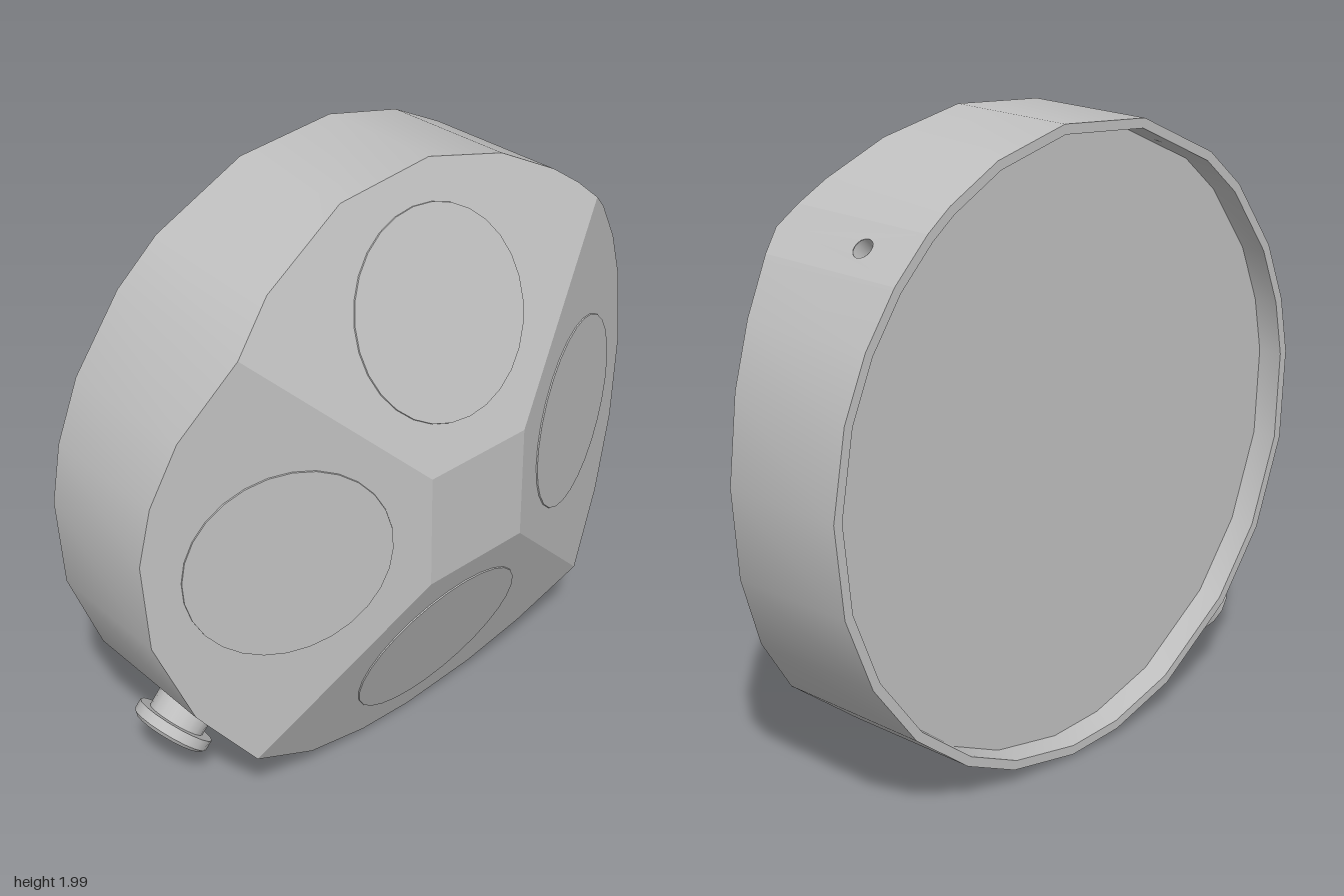
import * as THREE from 'three';

const HALF = 0.19, SLOPE = 0.4136, FRONT = 0.375, BACK = -0.38, MID_Y = 1;
const rad = THREE.MathUtils.degToRad;
// Height of the four-sided pyramid front at a point
const faceZ = (x, y) => FRONT - SLOPE * (Math.max(Math.abs(x), Math.abs(y)) - HALF);
// Outer radius narrows slightly towards the back
const bodyR = (z) => (z > 0 ? 1 : 1 + 0.026 * z);

// Outline angles; the gap from 40 to 50 degrees is a flat panel with a hole
const ANGLES = [50, 56, 68, 84, 104, 124, 135, 151, 163, 174, 191, 209, 225, 245, 260,
  272, 287.5, 300, 315, 330.5, 345.5, 362, 377.5, 389, 400];

export function createModel() {
  const model = new THREE.Group();
  const grey = new THREE.MeshStandardMaterial({ color: 0xc0c0c0 });
  grey.name = 'plain grey';
  const greyInside = grey.clone();
  greyInside.side = THREE.DoubleSide;

  const add = (name, geo, parent = model, mat = grey) => {
    const mesh = new THREE.Mesh(geo, mat);
    mesh.name = name;
    parent.add(mesh);
    return mesh;
  };
  const body = new THREE.Group();
  body.name = 'body';
  body.position.y = MID_Y;
  model.add(body);

  const build = (points, index) => {
    const geo = new THREE.BufferGeometry().setFromPoints(points);
    geo.setIndex(index);
    geo.computeVertexNormals();
    return geo;
  };
  const loop = (r, z) => ANGLES.map((a) =>
    new THREE.Vector3(r * Math.cos(rad(a)), r * Math.sin(rad(a)), z));
  // Surface between two loops, front loop first
  const loft = (a, b, closed) => {
    const n = a.length, index = [];
    for (let i = 0; i < (closed ? n : n - 1); i++) {
      const j = (i + 1) % n;
      index.push(n + i, n + j, j, n + i, j, i);
    }
    return build([...a, ...b], index);
  };

  // Side wall, rim, recess and back plate
  const front = loop(1, 0);
  front.forEach((p) => { p.z = faceZ(p.x, p.y); });
  const backR = bodyR(BACK);
  const outer = loop(backR, BACK), inner = loop(backR - 0.03, BACK);
  const floor = loop(backR - 0.035, BACK + 0.08);
  add('sideWall', loft(front, outer, false), body);
  add('backRim', loft(outer, inner, true), body);
  add('recessWall', loft(inner, floor, true), body);
  add('backPlate', loft(floor, loop(0, BACK + 0.08), true), body);

  // Flat panel with the small hole, bent onto the wall at 45 degrees
  const c5 = Math.cos(rad(5)), s5 = Math.sin(rad(5)), d = Math.SQRT1_2;
  const zEdge = faceZ(Math.cos(rad(40)), Math.sin(rad(40))), zMid = faceZ(c5 * d, c5 * d);
  const panel = new THREE.Shape([[-s5, BACK], [s5, BACK], [s5, zEdge], [0, zMid], [-s5, zEdge]]
    .map(([u, z]) => new THREE.Vector2(u, z)));
  const hole = new THREE.Path();
  hole.absarc(0, -0.195, 0.032, 0, Math.PI * 2, true);
  panel.holes.push(hole);
  const panelGeo = new THREE.ShapeGeometry(panel, 8);
  const pos = panelGeo.attributes.position;
  for (let i = 0; i < pos.count; i++) {
    const z = pos.getY(i), r = bodyR(z), u = pos.getX(i) * r;
    pos.setXYZ(i, d * (r * c5 - u), d * (r * c5 + u), z);
  }
  panelGeo.computeVertexNormals();
  add('holePanel', panelGeo, body);
  const bore = add('holeBore', new THREE.CylinderGeometry(0.032, 0.032, 0.12, 16, 1, true), body, greyInside);
  bore.position.set(d * 0.931, d * 0.931, -0.195);
  bore.rotation.z = -Math.PI / 4;

  // Central square and four sloping facets
  const square = add('frontSquare', new THREE.PlaneGeometry(HALF * 2, HALF * 2), body);
  square.position.z = FRONT;
  const corner = new THREE.Vector3(c5 * d, c5 * d, zMid);
  const ring = [corner, ...front];
  for (let k = 0; k < 4; k++) {
    const mid = rad(90 * (k + 1)), dir = new THREE.Vector2(Math.cos(mid), Math.sin(mid));
    const edge = ring.filter((p) => p.x * dir.x + p.y * dir.y >= 0.7035 - 1e-6 &&
      p.x * dir.x + p.y * dir.y >= Math.abs(p.x * dir.y - p.y * dir.x) - 1e-4);
    const side = (p) => p.y * dir.x - p.x * dir.y;
    edge.sort((a, b) => side(a) - side(b));
    const low = new THREE.Vector3(HALF * (dir.x + dir.y), HALF * (dir.y - dir.x), FRONT);
    const high = new THREE.Vector3(HALF * (dir.x - dir.y), HALF * (dir.y + dir.x), FRONT);
    const index = [], n = edge.length;
    for (let i = 0; i < n - 1; i++) index.push(0, 2 + i, 3 + i);
    index.push(0, n + 1, 1);
    add('frontFacet', build([low, high, ...edge], index), body);

    // Round inset disc on the facet
    const normal = new THREE.Vector3(dir.x * SLOPE, dir.y * SLOPE, 1).normalize();
    const disc = add('facetDisc', new THREE.CylinderGeometry(0.318, 0.32, 0.008, 28), body);
    disc.position.set(dir.x * 0.595, dir.y * 0.595, FRONT - SLOPE * (0.595 - HALF));
    disc.quaternion.setFromUnitVectors(new THREE.Vector3(0, 1, 0), normal);
  }

  // Flanged plug at the lower corner
  const knob = new THREE.Group();
  knob.name = 'plug';
  knob.position.set(-d * 0.95, MID_Y - d * 0.95, -0.19);
  knob.rotation.z = rad(135);
  model.add(knob);
  add('plugStem', new THREE.CylinderGeometry(0.095, 0.097, 0.13, 18, 1, true), knob).position.y = 0.055;
  add('plugFlange', new THREE.CylinderGeometry(0.13, 0.13, 0.035, 18), knob).position.y = 0.1275;
  add('plugCap', new THREE.CylinderGeometry(0.115, 0.13, 0.012, 18), knob).position.y = 0.151;

  return model;
}
